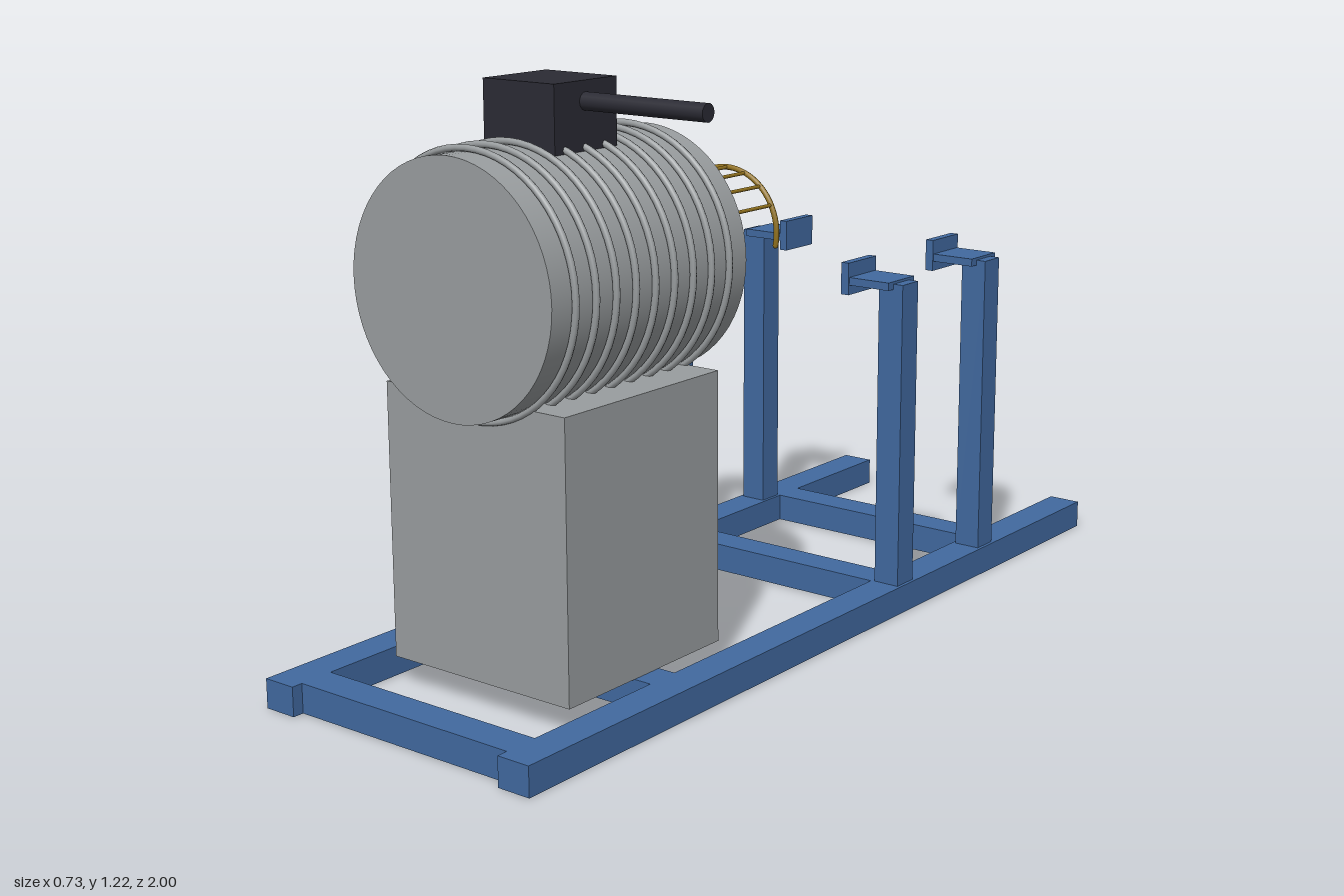
import * as THREE from 'three';
import { toCreasedNormals } from 'three/addons/utils/BufferGeometryUtils.js';

const CX = -0.02;   // centre line of the machine
const AXIS_Y = 0.846; // height of the drum axis

function material(name, color) {
  const m = new THREE.MeshStandardMaterial({ color });
  m.name = name;
  return m;
}

export function createModel() {
  const blue = material('frame blue', 0x41699f);
  const grey = material('machine grey', 0x999d9f);
  const black = material('motor black', 0x2b2b34);
  const gold = material('cage gold', 0x92721e);

  const model = new THREE.Group();
  model.name = 'drumMachine';

  const add = (parent, name, geometry, mat, x = 0, y = 0, z = 0) => {
    const mesh = new THREE.Mesh(geometry, mat);
    mesh.name = name;
    mesh.position.set(x, y, z);
    parent.add(mesh);
    return mesh;
  };
  // Box given by its minimum and maximum on each axis
  const box = (parent, name, mat, [x0, x1], [y0, y1], [z0, z1]) =>
    add(parent, name, new THREE.BoxGeometry(x1 - x0, y1 - y0, z1 - z0), mat,
      (x0 + x1) / 2, (y0 + y1) / 2, (z0 + z1) / 2);
  const group = (name, x = 0, y = 0, z = 0) => {
    const g = new THREE.Group();
    g.name = name;
    g.position.set(x, y, z);
    model.add(g);
    return g;
  };

  // Base frame: two long rails and four cross members
  const base = group('baseFrame', CX);
  for (const s of [-1, 1]) {
    add(base, 'rail', new THREE.BoxGeometry(0.075, 0.062, 2), blue, s * 0.307, 0.031, 0);
  }
  for (const z of [0.938, 0.53, -0.237, -0.638]) {
    add(base, 'crossMember', new THREE.BoxGeometry(0.539, 0.062, 0.075), blue, 0, 0.031, z);
  }

  // Four posts, each with a bracket plate and an upright pad facing inwards
  for (const z of [-0.233, -0.57]) {
    for (const s of [-1, 1]) {
      const post = group('supportPost', CX, 0, z);
      add(post, 'post', new THREE.BoxGeometry(0.06, 0.672, 0.06), blue, s * 0.307, 0.397, 0);
      add(post, 'bracketPlate', new THREE.BoxGeometry(0.102, 0.017, 0.1), blue, s * 0.263, 0.73, 0);
      add(post, 'bracketPad', new THREE.BoxGeometry(0.019, 0.07, 0.106), blue, s * 0.204, 0.735, 0);
    }
  }

  // Pedestal
  box(model, 'pedestal', grey, [-0.25, 0.21], [0.062, 0.63], [0.3, 0.76]);

  // Drum with a shallow round recess in its back face
  const drum = group('drum', CX, AXIS_Y, 0);
  const profile = [[0, 0.28], [0.045, 0.28], [0.045, 0.238], [0.253, 0.238], [0.253, 0.815], [0, 0.815]]
    .map(([r, h]) => new THREE.Vector2(r, h));
  const shell = new THREE.LatheGeometry(profile, 64).rotateX(Math.PI / 2);
  add(drum, 'drumShell', toCreasedNormals(shell, 0.6), grey);
  for (let i = 0; i < 9; i++) {
    add(drum, 'drumRib', new THREE.TorusGeometry(0.26, 0.007, 8, 64), grey, 0, 0, 0.302 + i * 0.057);
  }

  // Motor box with a side shaft
  box(model, 'motorBox', black, [-0.11, 0.07], [1.08, 1.217], [0.437, 0.617]);
  add(model, 'motorShaft', new THREE.CylinderGeometry(0.018, 0.018, 0.3, 20).rotateZ(Math.PI / 2),
    black, 0.213, 1.177, 0.527);

  // Arched cage behind the drum: two hoops joined by seven bars
  const cage = group('cage', CX, AXIS_Y, 0);
  const R = 0.13, reach = 1.77, front = 0.235, back = -0.032;
  for (const z of [front, back]) {
    const hoop = new THREE.TorusGeometry(R, 0.006, 8, 40, reach * 2).rotateZ(Math.PI / 2 - reach);
    add(cage, 'cageHoop', hoop, gold, 0, 0, z);
    for (const s of [-1, 1]) {
      add(cage, 'hoopEnd', new THREE.SphereGeometry(0.006, 8, 6), gold,
        s * R * Math.sin(reach), R * Math.cos(reach), z);
    }
  }
  for (let i = -3; i <= 3; i++) {
    const a = i * 0.365;
    add(cage, 'cageBar', new THREE.CylinderGeometry(0.004, 0.004, front - back, 8).rotateX(Math.PI / 2),
      gold, R * Math.sin(a), R * Math.cos(a), (front + back) / 2);
  }

  return model;
}
